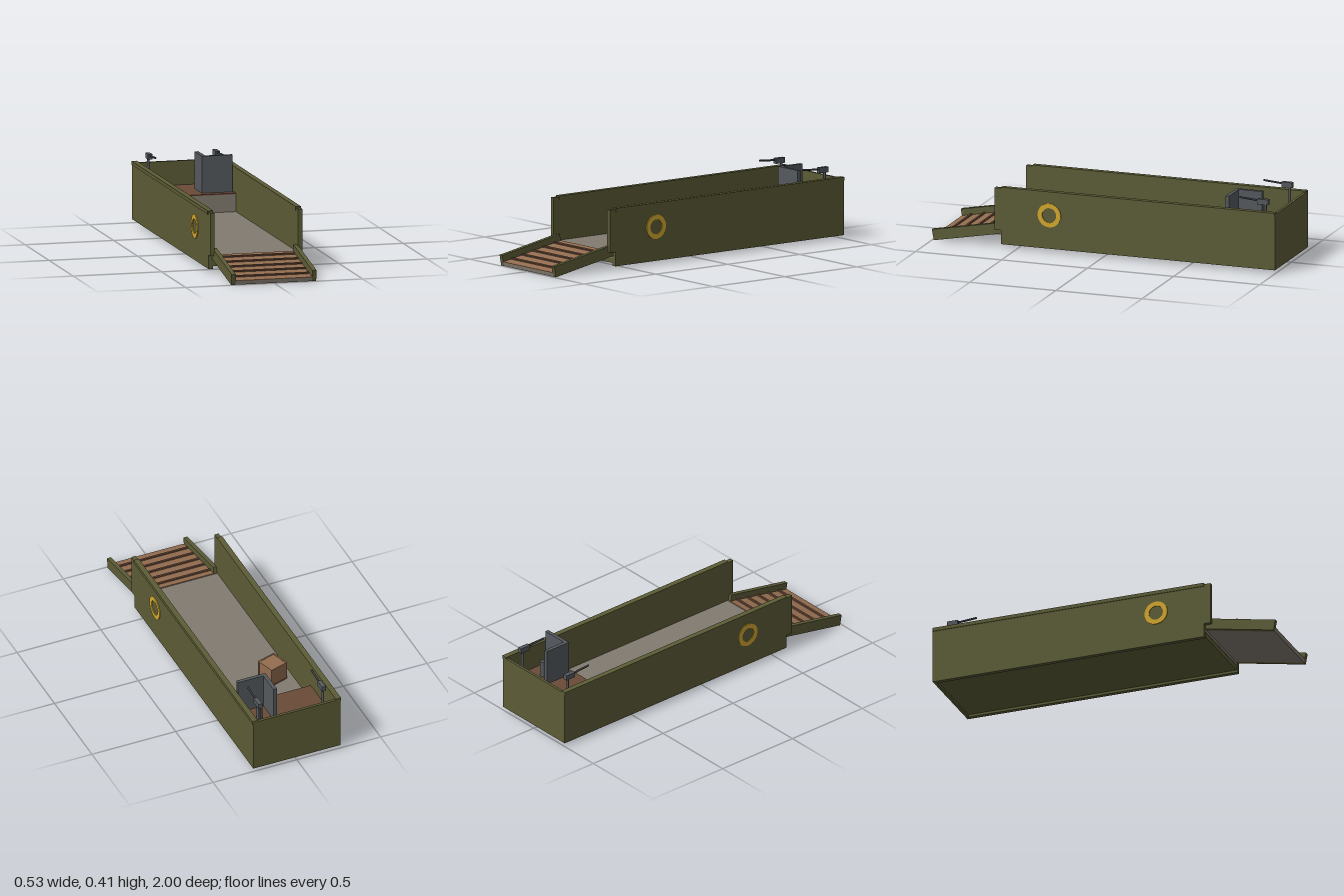
import * as THREE from 'three';

const mat = (name, color, extra = {}) => {
  const m = new THREE.MeshStandardMaterial({ color, ...extra });
  m.name = name;
  return m;
};

export function createModel() {
  const olive = mat('olive paint', 0x5c5c37);
  const grey = mat('grey floor', 0x827b70);
  const wood = mat('light wood', 0x936d50);
  const darkWood = mat('dark wood', 0x6a4a38);
  const metal = mat('gunmetal', 0x55595d);
  const darkMetal = mat('dark metal', 0x3a3c3f);
  const yellow = mat('yellow paint', 0xd4a82f);

  const model = new THREE.Group();
  model.name = 'landingCraft';

  const add = (parent, name, geometry, material, x = 0, y = 0, z = 0) => {
    const mesh = new THREE.Mesh(geometry, material);
    mesh.name = name;
    mesh.position.set(x, y, z);
    parent.add(mesh);
    return mesh;
  };
  // Box given by its lower and upper corner
  const box = (parent, name, material, [x0, y0, z0], [x1, y1, z1]) =>
    add(parent, name, new THREE.BoxGeometry(x1 - x0, y1 - y0, z1 - z0), material,
      (x0 + x1) / 2, (y0 + y1) / 2, (z0 + z1) / 2);
  // The same box on either side, s = 1 or -1
  const sideBox = (parent, name, material, s, [x0, y0, z0], [x1, y1, z1]) =>
    box(parent, name, material, [Math.min(s * x0, s * x1), y0, z0], [Math.max(s * x0, s * x1), y1, z1]);

  // Hull bottom, cargo floor and raised rear deck
  box(model, 'hullBottom', olive, [-0.235, 0.034, -0.985], [0.235, 0.06, 0.585]);
  box(model, 'cargoFloor', grey, [-0.235, 0.06, -0.985], [0.235, 0.097, 0.588]);
  box(model, 'deckBase', grey, [-0.235, 0.097, -0.985], [0.235, 0.194, -0.66]);
  box(model, 'rearDeck', darkWood, [-0.235, 0.194, -0.985], [0.235, 0.2, -0.66]);
  box(model, 'sternWall', olive, [-0.235, 0.02, -1], [0.235, 0.334, -0.985]);

  // Flat painted ring
  const ringShape = new THREE.Shape().absarc(0, 0, 0.067, 0, Math.PI * 2);
  ringShape.holes.push(new THREE.Path().absarc(0, 0, 0.041, 0, Math.PI * 2, true));
  const ringGeometry = new THREE.ExtrudeGeometry(ringShape, { depth: 0.005, bevelEnabled: false, curveSegments: 16 });

  for (const s of [1, -1]) {
    const side = s > 0 ? 'left' : 'right';
    // Side walls with top rail and front post
    sideBox(model, side + 'Wall', olive, s, [0.235, 0.02, -1], [0.26, 0.323, 0.59]);
    sideBox(model, side + 'TopRail', olive, s, [0.233, 0.322, -1], [0.264, 0.342, 0.59]);
    sideBox(model, side + 'FrontPost', olive, s, [0.235, 0.098, 0.59], [0.26, 0.335, 0.628]);
    const ring = add(model, side + 'Ring', ringGeometry, yellow, s * 0.26, 0.209, 0.31);
    ring.rotation.y = s * Math.PI / 2;

    // Mounted gun
    const gun = new THREE.Group();
    gun.name = side + 'Gun';
    gun.position.set(s * 0.19, 0, 0);
    model.add(gun);
    add(gun, 'gunPost', new THREE.CylinderGeometry(0.007, 0.007, 0.17, 10), metal, 0, 0.285, -0.92);
    box(gun, 'gunBody', metal, [-0.012, 0.367, -0.938], [0.012, 0.397, -0.876]);
    const barrel = add(gun, 'gunBarrel', new THREE.CylinderGeometry(0.0055, 0.0055, 0.125, 10), darkMetal, 0, 0.39, -0.832);
    barrel.rotation.x = Math.PI / 2 - 0.08;
  }

  // Shielded steering position
  box(model, 'frontShield', metal, [0.055, 0.2, -0.722], [0.228, 0.405, -0.702]);
  box(model, 'sideShield', metal, [0.055, 0.2, -0.857], [0.076, 0.405, -0.722]);
  add(model, 'steeringPost', new THREE.CylinderGeometry(0.016, 0.016, 0.09, 14), metal, 0.14, 0.245, -0.815);

  // Crate with edge battens
  const crate = new THREE.Group();
  crate.name = 'crate';
  crate.position.set(-0.128, 0.152, -0.39);
  crate.rotation.y = 0.3;
  model.add(crate);
  add(crate, 'crateBody', new THREE.BoxGeometry(0.108, 0.106, 0.108), wood);
  for (const a of [-1, 1]) for (const b of [-1, 1]) {
    const p = a * 0.052, q = b * 0.052;
    add(crate, 'crateEdgeX', new THREE.BoxGeometry(0.112, 0.006, 0.008), wood, 0, p, q);
    add(crate, 'crateEdgeY', new THREE.BoxGeometry(0.008, 0.11, 0.008), wood, p, 0, q);
    add(crate, 'crateEdgeZ', new THREE.BoxGeometry(0.008, 0.006, 0.112), wood, p, q, 0);
  }

  // Lowered bow ramp, hinged at the floor
  const ramp = new THREE.Group();
  ramp.name = 'bowRamp';
  ramp.position.set(0, 0, 0.989);
  ramp.rotation.x = 0.186;
  model.add(ramp);
  box(ramp, 'rampPlate', grey, [-0.217, 0, -0.407], [0.217, 0.02, 0]);
  box(ramp, 'rampPlanks', wood, [-0.215, 0.02, -0.407], [0.215, 0.024, 0]);
  for (let i = 0; i < 5; i++) {
    const z = -0.058 - i * 0.0755;
    box(ramp, 'rampCleat', darkWood, [-0.214, 0.024, z - 0.007], [0.214, 0.031, z + 0.007]);
  }
  for (const s of [1, -1])
    sideBox(ramp, s > 0 ? 'leftRampRail' : 'rightRampRail', olive, s, [0.216, 0, -0.407], [0.24, 0.061, 0]);

  return model;
}
